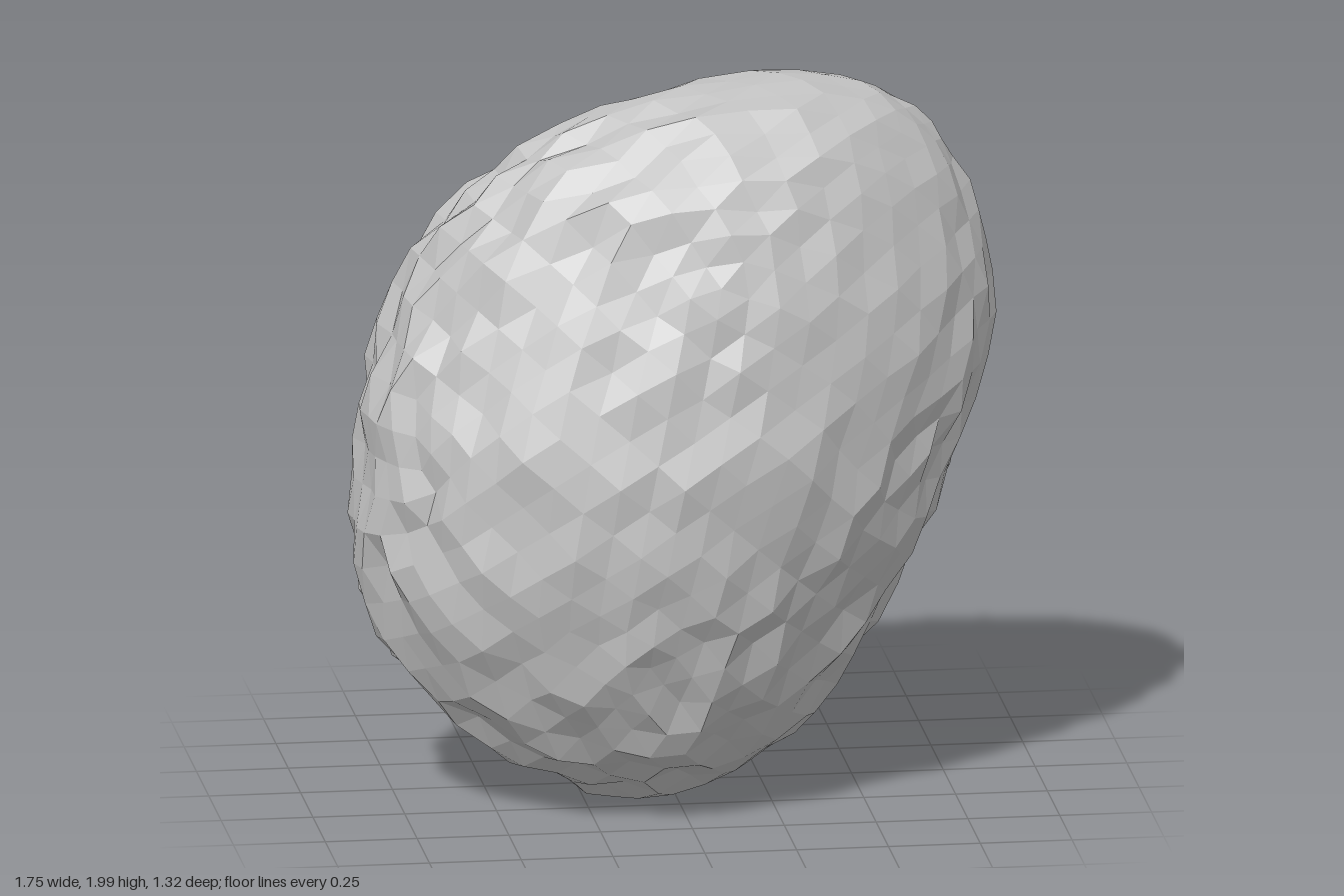
import * as THREE from 'three';
import { mergeVertices } from 'three/addons/utils/BufferGeometryUtils.js';

// Body sections by height: y, centre x, x scale, centre z, z scale (scales of a unit sphere)
const SECTIONS = [
  [0.0, -0.11, 0.70, 0.10, 0.59],
  [0.2, -0.115, 0.78, 0.115, 0.62],
  [0.4, -0.13, 0.80, 0.10, 0.605],
  [0.6, -0.12, 0.81, 0.095, 0.595],
  [0.8, -0.08, 0.82, 0.095, 0.58],
  [1.0, -0.04, 0.83, 0.085, 0.57],
  [1.2, 0.01, 0.88, 0.065, 0.555],
  [1.4, 0.055, 0.90, 0.05, 0.545],
  [1.6, 0.095, 0.93, 0.045, 0.535],
  [1.8, 0.155, 0.98, 0.06, 0.53],
  [2.0, 0.29, 1.03, 0.07, 0.55],
];

function sectionAt(y) {
  const t = THREE.MathUtils.clamp(y / 0.2, 0, 9.9999);
  const i = Math.floor(t);
  return SECTIONS[i].map((v, k) => THREE.MathUtils.lerp(v, SECTIONS[i + 1][k], t - i));
}

function seededRandom(seed) {
  return () => {
    seed = (seed * 1664525 + 1013904223) % 4294967296;
    return seed / 4294967296;
  };
}

// Faceted sphere bent to the sections, pinched to a ridge on the left, with a knobbly skin
function bodyGeometry() {
  const sphere = new THREE.IcosahedronGeometry(1, 9);
  sphere.deleteAttribute('normal');
  sphere.deleteAttribute('uv');
  const geometry = mergeVertices(sphere, 1e-4);
  const position = geometry.attributes.position;
  const random = seededRandom(17);
  const p = new THREE.Vector3();
  for (let i = 0; i < position.count; i++) {
    p.fromBufferAttribute(position, i);
    const [, cx, sx, cz, sz] = sectionAt(1 + p.y);
    const side = Math.max(0, p.x / Math.max(0.001, Math.hypot(p.x, p.z)));
    // the upper left part is smoother than the rest
    const smooth = THREE.MathUtils.smoothstep(p.x * 0.6 + p.y * 0.8, 0.2, 0.9);
    const bump = 1 - THREE.MathUtils.lerp(0.027, 0.01, smooth)
      + (random() - 0.5) * THREE.MathUtils.lerp(0.06, 0.03, smooth);
    position.setXYZ(
      i,
      cx + p.x * sx * bump,
      1 + p.y * Math.min(1, bump + 0.012),
      // sheared so the left ridge leans forward
      cz + 0.025 * p.x + p.z * sz * bump * (1 - 0.22 * side * side),
    );
  }
  geometry.computeVertexNormals();
  return geometry;
}

export function createModel() {
  const model = new THREE.Group();
  model.name = 'knobblyFruit';

  const skin = new THREE.MeshStandardMaterial({ color: 0xbfbfbf, flatShading: true, side: THREE.DoubleSide });
  skin.name = 'grey';

  const body = new THREE.Mesh(bodyGeometry(), skin);
  body.name = 'body';
  model.add(body);

  // Hollow stalk flaring out at the back
  const stalkGeometry = new THREE.CylinderGeometry(0.08, 0.058, 0.23, 8, 1, true);
  stalkGeometry.rotateY(Math.PI / 8).rotateX(-Math.PI / 2);
  const stalk = new THREE.Mesh(stalkGeometry, skin);
  stalk.name = 'stalk';
  stalk.position.set(-0.09, 0.995, -0.555);
  model.add(stalk);

  return model;
}
